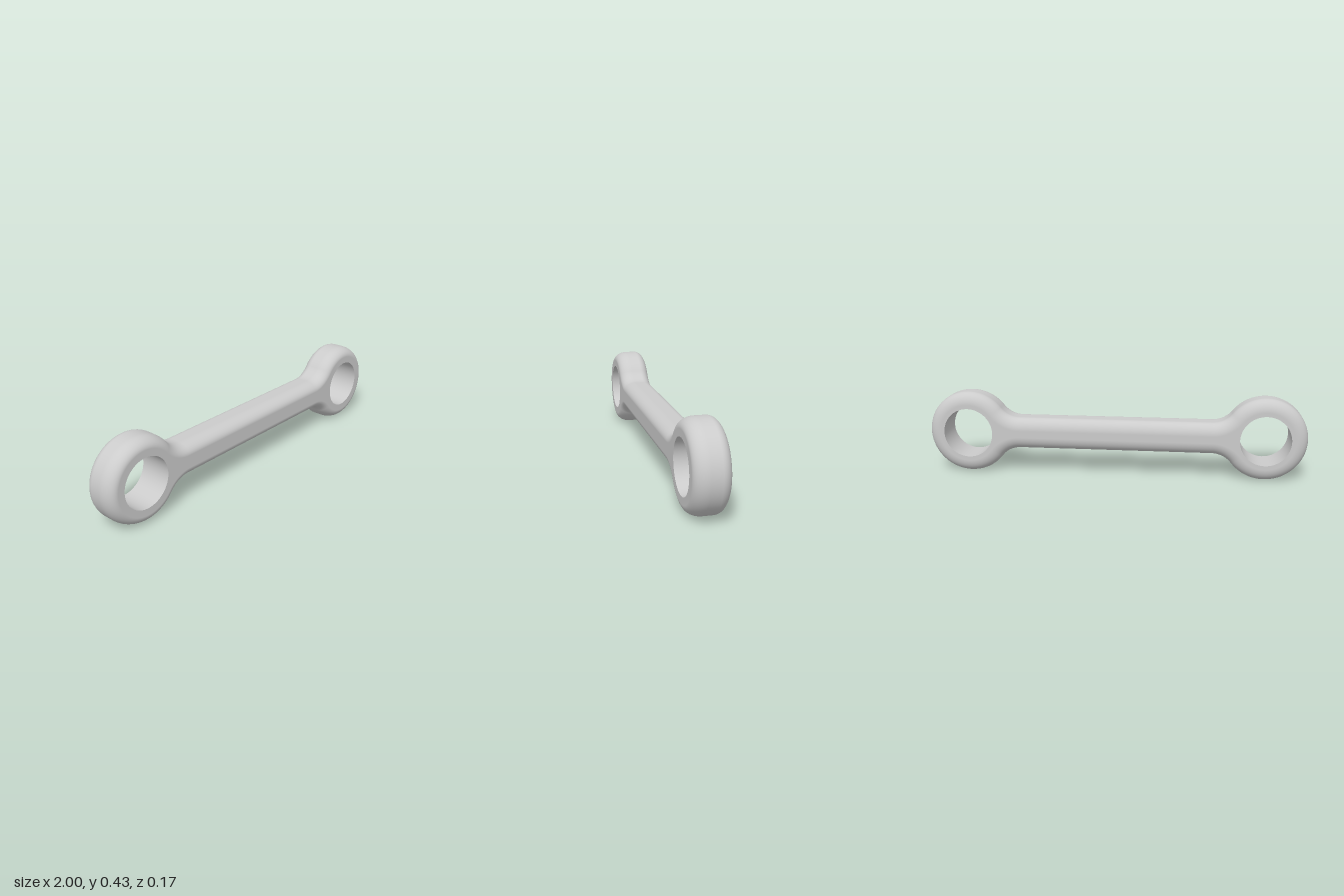
import * as THREE from 'three';

const R = 0.217, HOLE = 0.131, CX = 1 - R;   // end rings
const BAR = 0.083, FILLET = 0.13, HALF = 0.087; // bar half height, neck radius, half depth
const FRONT = { size: 0.05, depth: 0.07 };   // elliptical edge rounding
const BACK = { size: 0.065, depth: 0.052 };

// Counter-clockwise outline points with their outward normals
function makeOutline() {
  const h = BAR + FILLET;
  const dx = Math.sqrt((R + FILLET) ** 2 - h * h);
  const a = Math.atan2(h, dx), half = [];
  const arc = (cx, cy, r, from, to, n, sign) => {
    for (let i = 0; i <= n; i++) {
      const t = from + (to - from) * i / n, c = Math.cos(t), s = Math.sin(t);
      half.push({ x: cx + r * c, y: cy + r * s, nx: sign * c, ny: sign * s });
    }
  };
  arc(CX - dx, -h, FILLET, Math.PI / 2, a, 12, -1);
  arc(CX, 0, R, a - Math.PI, Math.PI - a, 64, 1);
  arc(CX - dx, h, FILLET, -a, -Math.PI / 2, 12, -1);
  return [...half, ...half.map(p => ({ x: -p.x, y: -p.y, nx: -p.nx, ny: -p.ny }))];
}

// Rounded wall: the outline is inset along an elliptical edge profile
function makeWall(outline) {
  const steps = 10, profile = [];
  for (const [e, sign] of [[BACK, -1], [FRONT, 1]]) {
    for (let i = 0; i <= steps; i++) {
      const t = (sign < 0 ? steps - i : i) / steps * Math.PI / 2;
      const n = new THREE.Vector2(Math.cos(t) / e.size, sign * Math.sin(t) / e.depth).normalize();
      profile.push({
        inset: e.size * (1 - Math.cos(t)),
        z: sign * (HALF - e.depth + e.depth * Math.sin(t)), n
      });
    }
  }
  const pos = [], nor = [], idx = [], N = outline.length;
  profile.forEach((q, j) => outline.forEach((p, i) => {
    pos.push(p.x - p.nx * q.inset, p.y - p.ny * q.inset, q.z);
    nor.push(p.nx * q.n.x, p.ny * q.n.x, q.n.y);
    if (j === 0) return;
    const k = (i + 1) % N, a = (j - 1) * N + i, b = (j - 1) * N + k;
    idx.push(a, b, b + N, a, b + N, a + N);
  }));
  const g = new THREE.BufferGeometry();
  g.setAttribute('position', new THREE.Float32BufferAttribute(pos, 3));
  g.setAttribute('normal', new THREE.Float32BufferAttribute(nor, 3));
  g.setIndex(idx);
  return g;
}

// Flat face with the two ring holes
function makeFace(outline, inset) {
  const shape = new THREE.Shape(outline.map(p =>
    new THREE.Vector2(p.x - p.nx * inset, p.y - p.ny * inset)));
  for (const s of [-1, 1]) {
    const hole = new THREE.Path();
    hole.absarc(s * CX, 0, HOLE, 0, Math.PI * 2, true);
    shape.holes.push(hole);
  }
  return new THREE.ShapeGeometry(shape, 32).translate(0, 0, HALF);
}

export function createModel() {
  const group = new THREE.Group();
  group.name = 'connectingLink';
  const material = new THREE.MeshStandardMaterial({ color: 0xcccccc });
  const inner = material.clone();
  inner.side = THREE.DoubleSide;
  const add = (name, geometry, mat = material) => {
    const mesh = new THREE.Mesh(geometry, mat);
    mesh.name = name;
    mesh.position.y = R;
    group.add(mesh);
    return mesh;
  };

  const outline = makeOutline();
  add('roundedBody', makeWall(outline));
  add('frontFace', makeFace(outline, FRONT.size));
  add('backFace', makeFace(outline, BACK.size).rotateY(Math.PI));

  // Bores through the end rings
  for (const [name, s] of [['leftBore', 1], ['rightBore', -1]]) {
    const bore = new THREE.CylinderGeometry(HOLE, HOLE, HALF * 2, 64, 1, true);
    add(name, bore.rotateX(Math.PI / 2), inner).position.x = s * CX;
  }
  return group;
}
